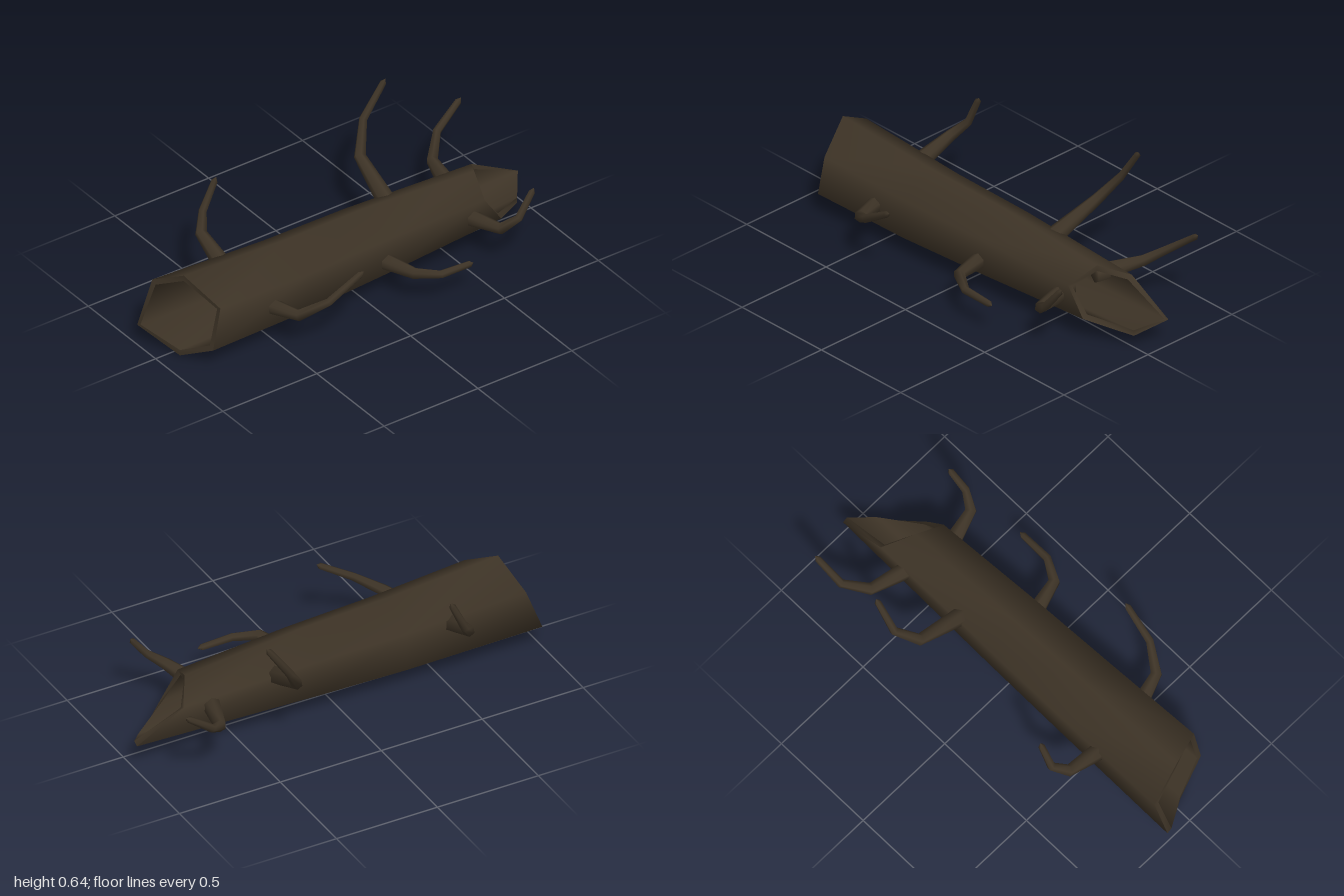
import * as THREE from 'three';

const bark = new THREE.MeshStandardMaterial({ color: 0x3d3326 });
bark.name = 'dark bark';

// Skin a list of equal-sized rings of points
function loft(name, rings) {
  const n = rings[0].length, pos = [], idx = [];
  rings.forEach(r => r.forEach(p => pos.push(p.x, p.y, p.z)));
  for (let i = 0; i < rings.length - 1; i++) {
    for (let j = 0; j < n; j++) {
      const k = (j + 1) % n, a = i * n + j, b = i * n + k;
      idx.push(a, b, a + n, b, b + n, a + n);
    }
  }
  const g = new THREE.BufferGeometry();
  g.setAttribute('position', new THREE.Float32BufferAttribute(pos, 3));
  g.setIndex(idx);
  g.computeVertexNormals();
  const mesh = new THREE.Mesh(g, bark);
  mesh.name = name;
  return mesh;
}

// Trunk stations: x, centre y, centre z, vertical radius, half width
const stations = [
  [-1, 0.21, 0.042, 0.206, 0.179],
  [-0.85, 0.209, 0.041, 0.204, 0.177],
  [-0.33, 0.192, 0.032, 0.188, 0.164],
  [0.1, 0.195, 0.022, 0.175, 0.153],
  [0.7, 0.193, 0.01, 0.13, 0.132],
  [1, 0.193, 0.008, 0.124, 0.13],
];

// Corner k of the hexagonal trunk at position x (k = 0 is the top, then towards the front)
function corner(k, x, inset) {
  let i = 0;
  while (i < stations.length - 2 && x > stations[i + 1][0]) i++;
  const A = stations[i], B = stations[i + 1], t = (x - A[0]) / (B[0] - A[0]);
  const [, cy, cz, ry, hz] = A.map((v, m) => THREE.MathUtils.lerp(v, B[m], t));
  const a = k * Math.PI / 3;
  return new THREE.Vector3(x, cy + (ry - inset) * Math.cos(a),
    cz + (hz - inset * 0.87) * Math.sin(a) / 0.866);
}

// Broken ends: x of each of the six corners
const leftEnd = [-0.88, -0.81, -0.85, -0.9, -1, -0.92];
const rightEnd = [0.69, 0.65, 0.74, 0.92, 1, 0.77];
const ring = (xs, inset) => xs.map((x, k) => corner(k, x, inset));

function trunk() {
  const g = new THREE.Group();
  g.name = 'hollowTrunk';
  const slices = [leftEnd, Array(6).fill(-0.33), Array(6).fill(0.1), rightEnd];
  const outer = slices.map(s => ring(s, 0));
  const inner = slices.map(s => ring(s, 0.028)).reverse();
  g.add(
    loft('outerBark', outer),
    loft('rightRim', [outer[3], inner[0]]),
    loft('innerWall', inner),
    loft('leftRim', [inner[3], outer[0]]),
  );
  return g;
}

// Tapered, bent branch with a pointed tip, rooted inside the trunk wall
function branch(name, path) {
  const pts = path.map(p => new THREE.Vector3(...p));
  const n = pts.length;
  const dirs = pts.slice(1).map((p, i) => p.clone().sub(pts[i]).normalize());
  const last = dirs[n - 2];
  const tangents = pts.map((p, i) =>
    dirs[Math.max(i - 1, 0)].clone().add(dirs[Math.min(i, n - 2)]).normalize());
  // Shoulder just before the tip, then the point
  const centres = [pts[0], ...pts.slice(0, n - 1),
    pts[n - 1].clone().addScaledVector(last, -0.02), pts[n - 1]];
  const tans = [tangents[0], ...tangents, last];
  const radii = [0.0005, 0.046, 0.027, 0.019, 0.015, 0.0005];
  const u = new THREE.Vector3(0, 1, 0);
  return loft(name, centres.map((c, i) => {
    u.addScaledVector(tans[i], -u.dot(tans[i])).normalize();
    const v = tans[i].clone().cross(u);
    return Array.from({ length: 6 }, (_, k) => {
      const a = k * Math.PI / 3;
      return c.clone().addScaledVector(u, radii[i] * Math.cos(a))
        .addScaledVector(v, radii[i] * Math.sin(a));
    });
  }));
}

const branches = {
  frontBranchRight: [[-0.54, 0.185, 0.1], [-0.47, 0.2, 0.325], [-0.36, 0.265, 0.395], [-0.19, 0.37, 0.417]],
  frontBranchMiddle: [[0.09, 0.16, 0.08], [0.15, 0.172, 0.32], [0.25, 0.16, 0.378], [0.42, 0.155, 0.38]],
  frontBranchLeft: [[0.57, 0.185, 0.07], [0.63, 0.2, 0.29], [0.7, 0.25, 0.328], [0.79, 0.365, 0.315]],
  backBranchRight: [[-0.565, 0.24, -0.06], [-0.55, 0.325, -0.29], [-0.5, 0.39, -0.347], [-0.43, 0.54, -0.345]],
  backBranchMiddle: [[0.295, 0.24, -0.05], [0.325, 0.36, -0.33], [0.4, 0.48, -0.41], [0.515, 0.648, -0.405]],
  backBranchLeft: [[0.61, 0.225, -0.05], [0.675, 0.225, -0.28], [0.765, 0.295, -0.37], [0.905, 0.405, -0.388]],
};

export function createModel() {
  const model = new THREE.Group();
  model.name = 'hollowLog';
  model.add(trunk());
  for (const [name, path] of Object.entries(branches)) model.add(branch(name, path));
  return model;
}
